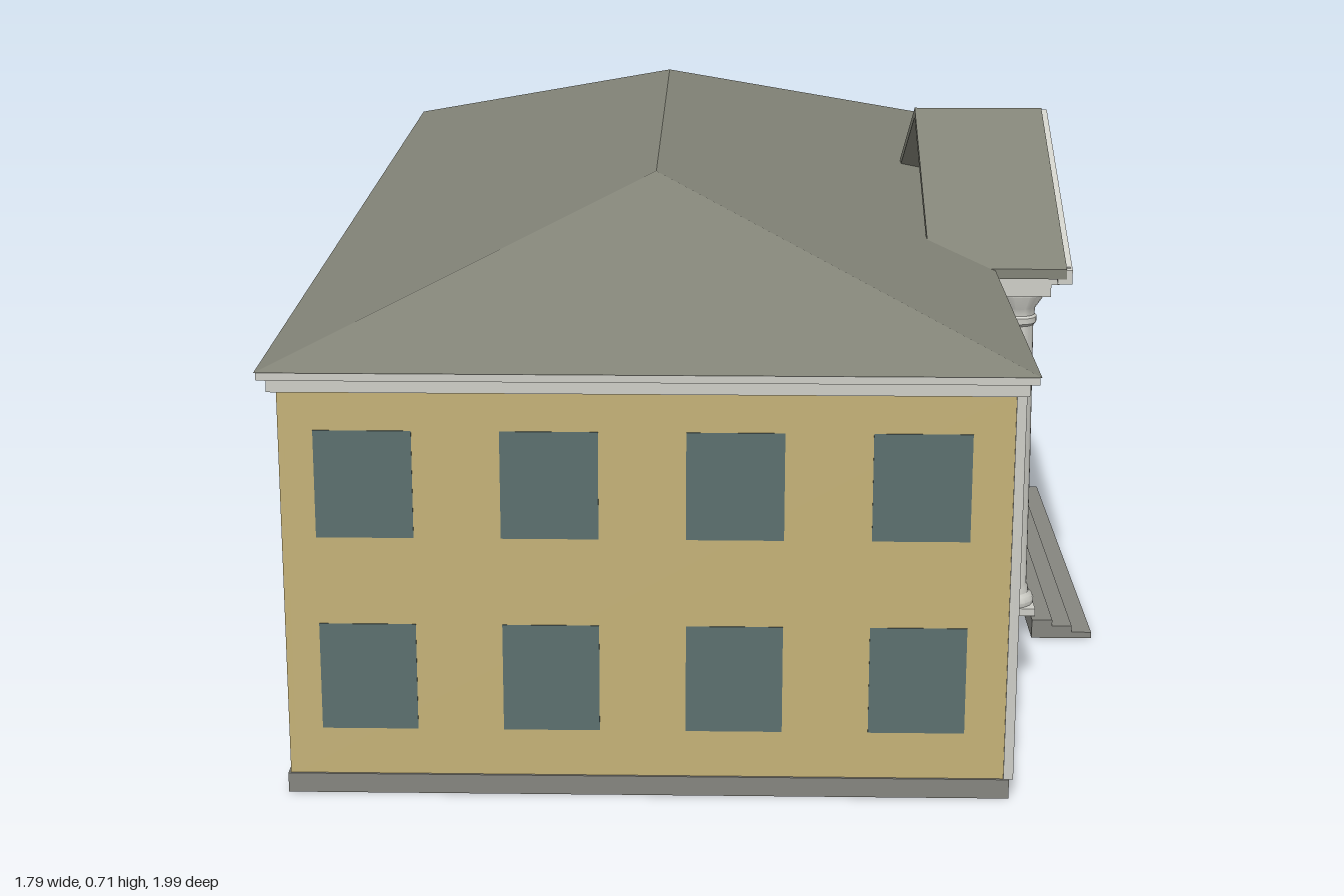
import * as THREE from 'three';
import { toCreasedNormals } from 'three/addons/utils/BufferGeometryUtils.js';
import { ConvexGeometry } from 'three/addons/geometries/ConvexGeometry.js';

const mat = (name, color, side = THREE.FrontSide) => {
  const m = new THREE.MeshStandardMaterial({ color, side });
  m.name = name;
  return m;
};

export function createModel() {
  const wall = mat('ochre wall', 0xc4b177, THREE.DoubleSide);
  const roof = mat('grey roof', 0x828377);
  const trim = mat('pale trim', 0xcdcdc6);
  const stone = mat('grey stone', 0x85857f);
  const glass = mat('teal glass', 0x5b6f6e);
  const door = mat('red brown door', 0x855049);

  const model = new THREE.Group();
  model.name = 'building';
  // the building's own front (+z here) is turned towards the front left
  const house = new THREE.Group();
  house.name = 'house';
  house.rotation.y = 0.951;
  model.add(house);

  const add = (name, geo, m, parent = house) => {
    const mesh = new THREE.Mesh(geo, m);
    mesh.name = name;
    parent.add(mesh);
    return mesh;
  };
  const box = (name, m, x0, x1, y0, y1, z0, z1, parent = house) => {
    const g = new THREE.BoxGeometry(x1 - x0, y1 - y0, z1 - z0);
    g.translate((x0 + x1) / 2, (y0 + y1) / 2, (z0 + z1) / 2);
    return add(name, g, m, parent);
  };
  const extrude = (name, m, pts, z0, z1) => {
    const shape = new THREE.Shape(pts.map(p => new THREE.Vector2(...p)));
    const g = new THREE.ExtrudeGeometry(shape, { depth: z1 - z0, bevelEnabled: false });
    g.translate(0, 0, z0);
    return add(name, g, m);
  };

  // plinth, walls (the front of the right bay is open) and cornice
  const X = 0.867, Z = 0.442, T = 0.008;
  box('plinth', stone, -X - 0.003, X + 0.003, 0, 0.025, -Z - 0.003, Z + 0.003);
  box('backWall', wall, -X, X, 0.025, 0.52, -Z, -Z + T);
  box('frontWall', wall, -X, 0.525, 0.025, 0.52, Z - T, Z);
  for (const s of [-1, 1]) {
    const a = s * X, b = s * (X - T);
    box('endWall', wall, Math.min(a, b), Math.max(a, b), 0.025, 0.52, -Z + T, Z - T);
  }
  box('cornice', trim, -0.878, 0.878, 0.518, 0.535, -0.452, 0.452);
  box('corniceLip', trim, -0.888, 0.888, 0.535, 0.545, -0.462, 0.462);

  // hipped main roof
  const hip = [];
  for (const sx of [-1, 1]) {
    hip.push(new THREE.Vector3(sx * 0.43, 0.698, 0));
    for (const sz of [-1, 1]) hip.push(new THREE.Vector3(sx * 0.89, 0.545, sz * 0.464));
  }
  add('mainRoof', new ConvexGeometry(hip), roof);

  // pilasters on the front
  for (const x of [-0.858, -0.525, 0.525, 0.858])
    box('pilaster', trim, x - 0.011, x + 0.011, 0.025, 0.52, Z - 0.004, Z + 0.008);

  // plain windows on the back and ends, showing on both wall faces
  for (const [y0, y1] of [[0.085, 0.222], [0.333, 0.468]]) {
    for (let i = 0; i < 7; i++) {
      const x = (i - 3) * 0.247;
      box('backWindow', glass, x - 0.067, x + 0.067, y0, y1, -Z - 0.001, -Z + T + 0.001);
    }
    for (const s of [-1, 1]) for (let i = 0; i < 4; i++) {
      const z = (i - 1.5) * 0.2235 - 0.006, x = s * (X - T / 2);
      box('endWindow', glass, x - 0.005, x + 0.005, y0, y1, z - 0.059, z + 0.059);
    }
  }

  // rectangular surround made of four bars
  const surround = (name, m, x, w, y0, y1, t, z1, parent) => {
    for (const s of [-1, 1]) {
      const c = x + s * (w - t / 2);
      box(name, m, c - t / 2, c + t / 2, y0, y1, Z, z1, parent);
    }
    box(name, m, x - w + t, x + w - t, y0, y0 + t, Z, z1, parent);
    box(name, m, x - w + t, x + w - t, y1 - t, y1, Z, z1, parent);
  };
  const framedWindow = (x, w, y0, y1, mullions, outer) => {
    const g = new THREE.Group();
    g.name = 'frontWindow';
    house.add(g);
    box('pane', glass, x - w + 0.004, x + w - 0.004, y0 + 0.004, y1 - 0.004, Z - 0.001, Z + 0.002, g);
    const t = outer ? 0.01 : 0;
    if (outer) surround('outerFrame', wall, x, w, y0, y1, t, Z + 0.012, g);
    surround('innerFrame', trim, x, w - t, y0 + t, y1 - t, 0.005, Z + 0.006, g);
    for (const f of mullions)
      box('mullion', trim, x + f * w - 0.0025, x + f * w + 0.0025, y0 + t, y1 - t, Z, Z + 0.006, g);
  };
  for (const x of [-0.657, -0.397, 0.397, 0.657]) {
    framedWindow(x, 0.07, 0.29, 0.436, [-0.4, 0.2], true);
    framedWindow(x, 0.07, 0.08, 0.178, [-0.4, 0.2], true);
  }
  // middle windows above three doors
  for (const x of [-0.16, 0, 0.16]) {
    framedWindow(x, 0.036, 0.295, 0.453, [], false);
    box('door', door, x - 0.031, x + 0.031, 0.03, 0.188, Z, Z + 0.003);
    surround('doorFrame', trim, x, 0.035, 0.028, 0.192, 0.004, Z + 0.005, house);
  }

  // portico columns
  const profile = [[0, 0.04], [0.035, 0.04], [0.036, 0.047], [0.033, 0.054], [0.028, 0.058], [0.027, 0.066],
    [0.025, 0.07], [0.024, 0.25], [0.021, 0.455], [0.025, 0.459], [0.025, 0.467], [0.022, 0.47],
    [0.023, 0.48], [0.036, 0.5], [0.036, 0.505], [0, 0.505]].map(p => new THREE.Vector2(...p));
  const columnGeo = toCreasedNormals(new THREE.LatheGeometry(profile, 20), 0.6);
  for (const x of [-0.29, -0.0965, 0.0965, 0.29]) {
    const g = new THREE.Group();
    g.name = 'column';
    house.add(g);
    add('shaft', columnGeo, trim, g).position.set(x, 0, 0.505);
    box('columnFoot', trim, x - 0.035, x + 0.035, 0.03, 0.041, 0.47, 0.54, g);
    box('abacus', trim, x - 0.039, x + 0.039, 0.503, 0.522, 0.466, 0.544, g);
  }

  // entablature, pediment face and slit window
  box('entablature', trim, -0.33, 0.33, 0.52, 0.537, 0.44, 0.555);
  box('entablatureLip', trim, -0.345, 0.345, 0.535, 0.549, 0.44, 0.568);
  extrude('pediment', wall, [[-0.32, 0.549], [0.32, 0.549], [0, 0.698]], 0.535, 0.543);
  box('slitWindow', glass, -0.005, 0.005, 0.565, 0.645, 0.54, 0.546);
  box('slitWindow', glass, -0.009, 0.009, 0.632, 0.639, 0.54, 0.546);

  // gable roof, open at the rear, with a pale raking cornice
  const chevron = (w, top, t) => {
    const k = 0.4655 * w;
    return [[-w, top - k], [-w, top - k - t], [0, top - t], [w, top - k - t], [w, top - k], [0, top]];
  };
  extrude('porticoRoof', roof, chevron(0.35, 0.71, 0.014), 0.374, 0.562);
  extrude('rakingCornice', trim, chevron(0.349, 0.708, 0.02), 0.55, 0.57);

  // three front steps
  for (let i = 0; i < 3; i++)
    box('step', stone, -0.333, 0.333, i * 0.009, (i + 1) * 0.009, 0.535, 0.62 - i * 0.028);

  return model;
}
